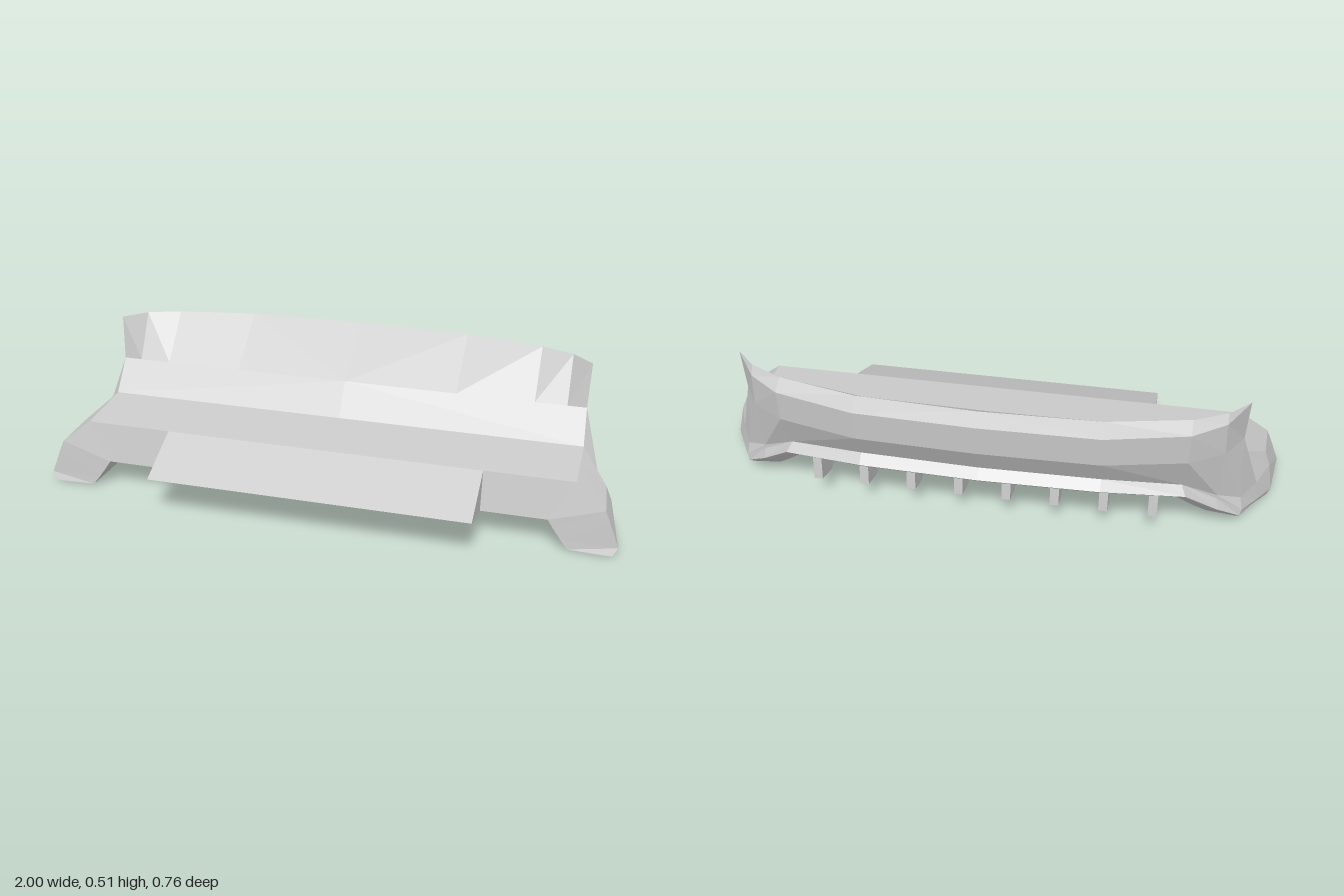
import * as THREE from 'three';

const grey = new THREE.MeshStandardMaterial({ color: 0xcccccc, flatShading: true });

// Facets between neighbouring rows of points, mirrored onto the other side.
function loft(name, rows) {
  const out = [];
  const tri = (a, b, c) => {
    const [A, B, C] = [a, b, c].map((p) => new THREE.Vector3(...p));
    const area = new THREE.Vector3().crossVectors(B.clone().sub(A), C.clone().sub(A)).length();
    if (area < 1e-6) return;
    out.push(...a, ...b, ...c);
    for (const p of [a, c, b]) out.push(-p[0], p[1], p[2]);
  };
  for (let j = 0; j < rows.length - 1; j++) {
    for (let i = 0; i < rows[j].length - 1; i++) {
      const a = rows[j][i], b = rows[j][i + 1], c = rows[j + 1][i + 1], d = rows[j + 1][i];
      tri(a, b, c);
      tri(a, c, d);
    }
  }
  const geo = new THREE.BufferGeometry();
  geo.setAttribute('position', new THREE.Float32BufferAttribute(out, 3));
  geo.computeVertexNormals();
  const mesh = new THREE.Mesh(geo, grey);
  mesh.name = name;
  return mesh;
}

// Side profile given as [z, y], extruded across x.
function prism(name, profile, width, x = 0) {
  const shape = new THREE.Shape(profile.map(([z, y]) => new THREE.Vector2(z, y)));
  const geo = new THREE.ExtrudeGeometry(shape, { depth: width, bevelEnabled: false });
  geo.rotateY(-Math.PI / 2).translate(x + width / 2, 0, 0);
  const mesh = new THREE.Mesh(geo, grey);
  mesh.name = name;
  return mesh;
}

export function createModel() {
  const group = new THREE.Group();

  // Rows run from the middle of the back, round the corner, to the front of the foot.
  const shoulder = [0.845, 0.36, -0.125], elbow = [0.85, 0.25, -0.05];
  const inner = [[0, 0.51, -0.33], [0.4, 0.51, -0.315], [0.67, 0.512, -0.26], [0.78, 0.515, -0.21],
    [0.85, 0.515, -0.14], shoulder, elbow, [0.85, 0.243, 0.06], [0.85, 0.235, 0.185]];
  const rim = [[0, 0.485, -0.385], [0.4, 0.485, -0.375], [0.67, 0.485, -0.31], [0.78, 0.485, -0.23],
    [0.85, 0.515, -0.14], shoulder, elbow, [0.94, 0.17, 0.06], [0.95, 0.155, 0.205]];
  const belly = [[0, 0.375, -0.375], [0.4, 0.375, -0.365], [0.67, 0.37, -0.3], [0.785, 0.365, -0.225],
    shoulder, shoulder, elbow, [0.94, 0.17, 0.06], [0.95, 0.155, 0.205]];
  const waist = [[0, 0.27, -0.315], [0.4, 0.27, -0.305], [0.66, 0.235, -0.245], [0.78, 0.17, -0.2],
    [0.86, 0.13, -0.15], [0.86, 0.13, -0.15], [0.915, 0.12, -0.05], [0.96, 0.12, 0.055], [0.965, 0.12, 0.207]];
  const skirt = [...waist.slice(0, 3), [0.78, 0.155, -0.2], [0.87, 0.085, -0.16], [0.87, 0.085, -0.16],
    [0.925, 0.055, -0.06], [0.975, 0.03, 0.035], [1, 0.03, 0.21]];
  const lip = [[0, 0.24, -0.345], [0.4, 0.24, -0.335], [0.675, 0.21, -0.275], [0.785, 0.12, -0.215],
    [0.865, 0.062, -0.165], [0.865, 0.062, -0.165], [0.915, 0.035, -0.06], [0.965, 0.003, 0.035], [0.985, 0.003, 0.22]];
  const lipUnder = [[0, 0.225, -0.33], [0.4, 0.225, -0.32], [0.66, 0.2, -0.265], [0.77, 0.11, -0.205],
    [0.85, 0.055, -0.16], [0.85, 0.055, -0.16], [0.9, 0.03, -0.06], [0.95, 0, 0.035], [0.97, 0, 0.22]];
  const footInner = [[0, 0.205, -0.29], [0.4, 0.205, -0.28], [0.63, 0.185, -0.24], [0.71, 0.105, -0.19],
    [0.755, 0.06, -0.155], [0.755, 0.06, -0.155], [0.79, 0.033, -0.06], [0.83, 0.003, 0.035], [0.84, 0.003, 0.215]];
  const floorEdge = [[0, 0.2, -0.28], [0.4, 0.2, -0.27], [0.61, 0.18, -0.23], [0.67, 0.125, -0.15],
    [0.7, 0.1, -0.11], [0.7, 0.1, -0.11], [0.72, 0.1, -0.06], [0.75, 0.1, 0.035], [0.77, 0.1, 0.21]];
  const floorMid = floorEdge.map(([, y, z], i) =>
    i < 3 ? [0, y, z] : [0, Math.max(0.1, 0.1 + (0.02 - z) * 0.33), z]);
  floorMid[8] = [0, 0.1, 0.21];

  group.add(loft('rearWall', [inner, rim, belly, waist, skirt]));
  group.add(loft('lowerTrim', [skirt, lip, lipUnder]));
  group.add(loft('underside', [lipUnder, footInner, floorEdge, floorMid]));

  // Curved front panel above a straight crease, then the sloping step and flat deck
  const crease = inner.slice(0, 5).map(([x]) => [Math.min(x, 0.845), 0.36, -0.125]);
  group.add(loft('innerPanel', [crease, inner.slice(0, 5)]));
  const deckEdge = inner.slice(5);
  group.add(loft('deck', [deckEdge.map(([, y, z]) => [0, y, z]), deckEdge]));

  // Front faces of the deck and feet
  group.add(loft('frontFaces', [
    [[0.54, 0.1, 0.21], [0.77, 0.1, 0.21], [0.79, 0.07, 0.211], [0.815, 0.035, 0.213], [0.84, 0.003, 0.215], [0.97, 0, 0.22]],
    [[0.54, 0.235, 0.185], [0.85, 0.235, 0.185], [0.95, 0.155, 0.205], [0.965, 0.12, 0.207], [1, 0.03, 0.21], [0.985, 0.003, 0.22]],
  ]));

  // Pointed wedge at the front
  group.add(prism('frontWedge', [[0.185, 0.235], [0.21, 0.1], [0.38, 0.145]], 1.1));

  // Row of fins under the floor
  const fin = [[0.1, 0.1], [-0.17, 0.065], [-0.265, 0.1], [-0.257, 0.19], [-0.15, 0.155], [0, 0.107]];
  for (let i = 0; i < 8; i++) group.add(prism('fin', fin, 0.03, (i - 3.5) * 0.164));

  return group;
}
